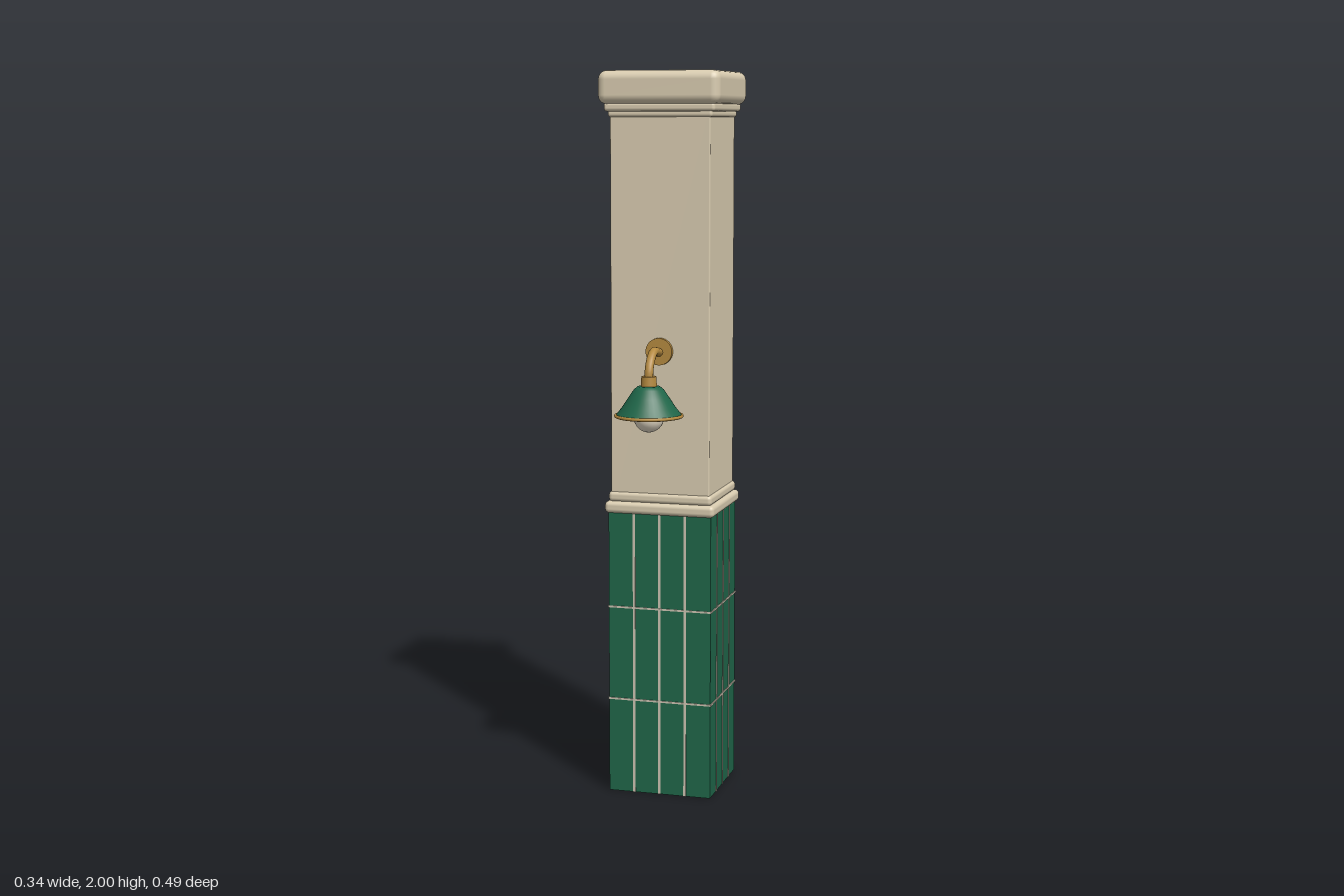
import * as THREE from 'three';
import { RoundedBoxGeometry } from 'three/addons/geometries/RoundedBoxGeometry.js';

const mat = (name, color, side = THREE.FrontSide) => {
  const m = new THREE.MeshStandardMaterial({ color, side });
  m.name = name;
  return m;
};

export function createModel() {
  const stone = mat('cream stone', 0xd9ccb0);
  const green = mat('green enamel', 0x1f6649, THREE.DoubleSide);
  const grout = mat('pale grout', 0xcdc4b2);
  const brass = mat('brass', 0xb58a3f);
  const glass = mat('bulb glass', 0xe6dcc8);

  const model = new THREE.Group();
  const add = (parent, name, geometry, material, x = 0, y = 0, z = 0) => {
    const mesh = new THREE.Mesh(geometry, material);
    mesh.name = name;
    mesh.position.set(x, y, z);
    parent.add(mesh);
    return mesh;
  };

  // Pillar: stacked blocks, each given by width, depth, bottom, top and edge radius
  const pillar = new THREE.Group();
  pillar.name = 'pillar';
  pillar.position.z = -0.086;
  model.add(pillar);
  const block = (name, w, d, y0, y1, r) =>
    add(pillar, name, new RoundedBoxGeometry(w, y1 - y0, d, 3, r), stone, 0, (y0 + y1) / 2);
  block('shaft', 0.28, 0.264, 0.8, 1.9, 0.004);
  block('lowerMouldingBase', 0.312, 0.295, 0.795, 0.828, 0.012);
  block('lowerMouldingTop', 0.294, 0.277, 0.826, 0.855, 0.011);
  block('upperMouldingBase', 0.292, 0.274, 1.876, 1.895, 0.008);
  block('upperMouldingTop', 0.31, 0.29, 1.891, 1.915, 0.009);
  block('cap', 0.34, 0.32, 1.91, 2, 0.024);

  // Tiled base with thin grout lines
  const W = 0.292, D = 0.274, H = 0.8;
  add(pillar, 'tiledBase', new THREE.BoxGeometry(W, H, D), green, 0, H / 2);
  const line = 0.007, lift = 0.003;
  for (const s of [-1, 1]) {
    for (const k of [-0.25, 0, 0.25]) {
      add(pillar, 'groutVertical', new THREE.BoxGeometry(line, H, lift), grout, k * W, H / 2, s * D / 2);
      add(pillar, 'groutVertical', new THREE.BoxGeometry(lift, H, line), grout, s * W / 2, H / 2, k * D);
    }
  }
  for (const y of [0.267, 0.53]) {
    add(pillar, 'groutHorizontal', new THREE.BoxGeometry(W + 0.005, 0.005, D + 0.005), grout, 0, y);
  }

  // Wall lamp
  const lamp = new THREE.Group();
  lamp.name = 'wallLamp';
  model.add(lamp);
  const lampZ = 0.152;
  add(lamp, 'wallPlate', new THREE.CylinderGeometry(0.037, 0.037, 0.016, 32), brass, 0, 1.247, 0.05)
    .rotation.x = Math.PI / 2;
  const path = new THREE.CatmullRomCurve3([
    [1.243, 0.045], [1.25, 0.08], [1.252, 0.105], [1.232, 0.135], [1.205, 0.15], [1.175, lampZ],
  ].map(([y, z]) => new THREE.Vector3(0, y, z)));
  add(lamp, 'arm', new THREE.TubeGeometry(path, 20, 0.012, 12), brass);
  add(lamp, 'socket', new THREE.CylinderGeometry(0.02, 0.022, 0.032, 24), brass, 0, 1.175, lampZ);
  const profile = [[0.001, 1.166], [0.03, 1.164], [0.04, 1.156], [0.055, 1.134], [0.072, 1.108], [0.09, 1.085]];
  add(lamp, 'shade', new THREE.LatheGeometry(
    profile.map(([r, y]) => new THREE.Vector2(r, y)).reverse(), 40), green, 0, 0, lampZ);
  add(lamp, 'shadeRim', new THREE.TorusGeometry(0.089, 0.0045, 8, 40), brass, 0, 1.085, lampZ)
    .rotation.x = Math.PI / 2;
  add(lamp, 'bulb', new THREE.SphereGeometry(0.041, 24, 16), glass, 0, 1.081, lampZ);

  return model;
}
